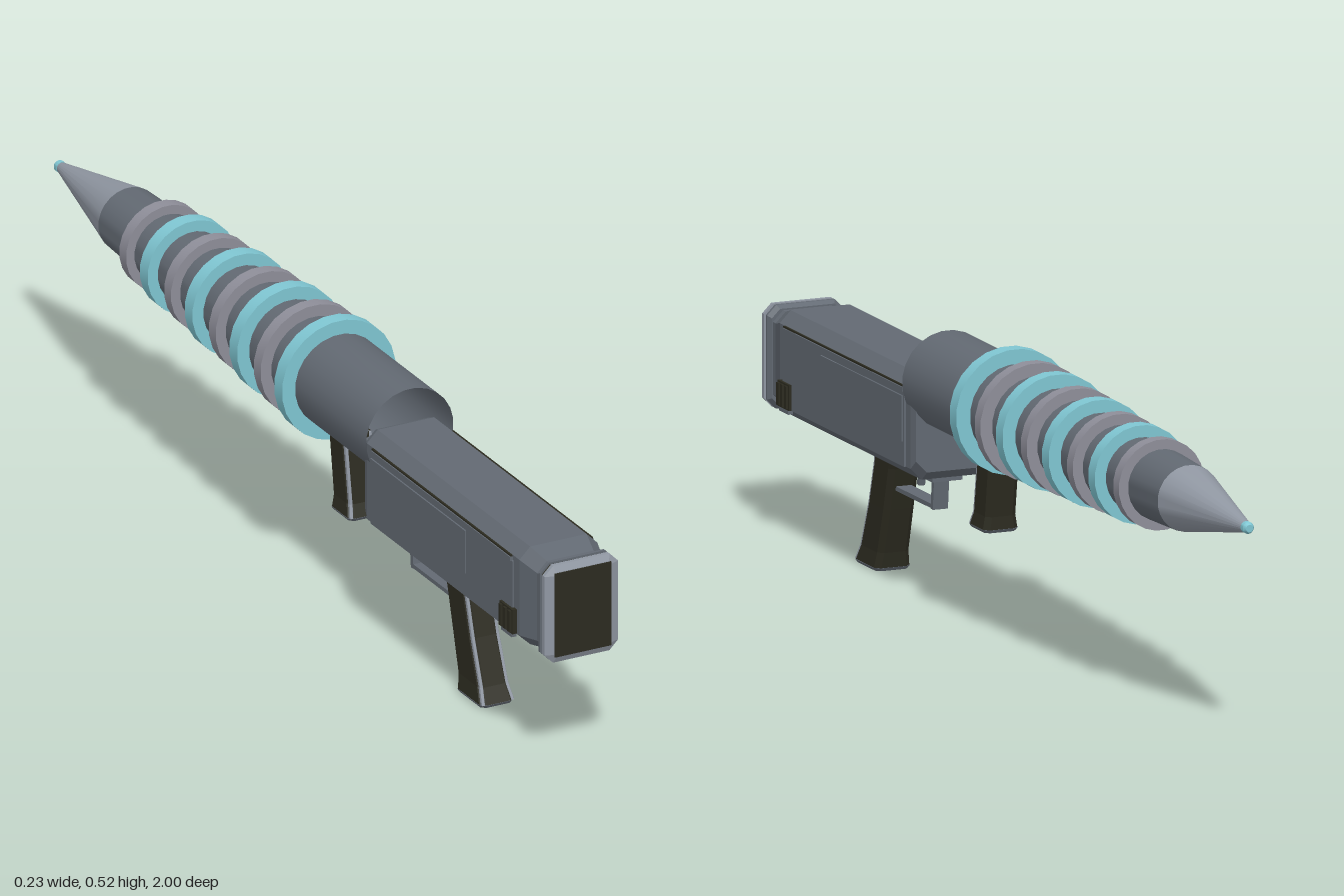
import * as THREE from 'three';
import { toCreasedNormals } from 'three/addons/utils/BufferGeometryUtils.js';

const mat = (name, color, side = THREE.FrontSide) => {
  const m = new THREE.MeshStandardMaterial({ color, side });
  m.name = name;
  return m;
};

// Chamfered-rectangle cross-sections joined along z.
// section: [z, centreX, centreY, halfWidth, halfHeight, chamfer]
function loft(sections) {
  const rings = sections.map(([z, cx, cy, w, h, c]) => [
    [w, -h + c], [w, h - c], [w - c, h], [-w + c, h],
    [-w, h - c], [-w, -h + c], [-w + c, -h], [w - c, -h],
  ].map(([x, y]) => [cx + x, cy + y, z]));
  const pos = [];
  const tri = (...p) => p.forEach((v) => pos.push(...v));
  for (let k = 0; k < rings.length - 1; k++) {
    for (let i = 0; i < 8; i++) {
      const j = (i + 1) % 8;
      const a = rings[k][i], b = rings[k][j], c = rings[k + 1][j], d = rings[k + 1][i];
      tri(a, b, c);
      tri(a, c, d);
    }
  }
  const first = rings[0], last = rings[rings.length - 1];
  for (let i = 1; i < 7; i++) {
    tri(first[0], first[i + 1], first[i]);
    tri(last[0], last[i], last[i + 1]);
  }
  const g = new THREE.BufferGeometry();
  g.setAttribute('position', new THREE.Float32BufferAttribute(pos, 3));
  g.computeVertexNormals();
  return g;
}

// Same, stacked upwards: [y, centreX, centreZ, halfWidth, halfDepth, chamfer]
const loftUp = (sections) =>
  loft(sections.map(([y, cx, cz, w, d, c]) => [y, cx, -cz, w, d, c])).rotateX(-Math.PI / 2);

// Revolved profile lying along z: points are [radius, z]
const SEG = 24;
function turned(points) {
  const g = new THREE.LatheGeometry(points.map(([r, z]) => new THREE.Vector2(r, z)), SEG, Math.PI / SEG);
  return toCreasedNormals(g.rotateX(Math.PI / 2), 0.6);
}

export function createModel() {
  const gun = mat('gunmetal', 0x626972);
  const shell = mat('gunmetal tube', 0x626972, THREE.DoubleSide);
  const steel = mat('light steel', 0x9097a2, THREE.DoubleSide);
  const ringGrey = mat('ring grey', 0x8e8e99);
  const cyan = mat('pale cyan', 0x7fc6d2);
  const dark = mat('dark olive', 0x2c2b20);

  const model = new THREE.Group();
  model.name = 'launcher';
  const add = (name, geometry, material, parent = model) => {
    const m = new THREE.Mesh(geometry, material);
    m.name = name;
    parent.add(m);
    return m;
  };
  const box = (name, w, h, d, x, y, z, material, parent) => {
    const m = add(name, new THREE.BoxGeometry(w, h, d), material, parent);
    m.position.set(x, y, z);
    return m;
  };

  // Barrel, nose and coil rings
  const barrel = new THREE.Group();
  barrel.name = 'barrel';
  barrel.position.y = 0.405;
  model.add(barrel);
  const radiusAt = (z) => (z > 0.05 ? 0.09 : 0.062 + 0.028 * (z + 0.73) / 0.78);
  add('barrelTube', turned([[0.062, -0.73], [0.09, 0.05], [0.09, 0.34]]), shell, barrel);
  add('noseCone', turned([[0.01, -0.985], [0.062, -0.73]]), steel, barrel);
  add('noseTip', turned([[0, -1], [0.007, -1], [0.011, -0.994], [0.011, -0.984], [0, -0.984]]), cyan, barrel);
  for (let i = 0; i < 8; i++) {
    const z = 0.055 - i * 0.093;
    const outer = (i % 2 ? 0.114 : 0.117) - i * 0.0042;
    const inner = radiusAt(z) - 0.006;
    const h = i % 2 ? 0.013 : 0.015;
    const g = turned([[inner, z - h], [outer, z - h], [outer, z + h], [inner, z + h], [inner, z - h]]);
    add('coilRing' + (i + 1), g, i % 2 ? ringGrey : cyan, barrel);
  }

  // Receiver body with tapered rear
  add('receiver', loft([
    [0.31, 0, 0.328, 0.076, 0.086, 0.022],
    [0.325, 0, 0.323, 0.08, 0.097, 0.022],
    [0.905, 0, 0.323, 0.08, 0.097, 0.022],
    [0.95, 0, 0.32, 0.068, 0.087, 0.02],
    [0.97, 0, 0.32, 0.068, 0.087, 0.02],
  ]), gun);

  // Butt plate: steel frame, dark band and dark pad
  add('buttFrame', loft([
    [0.962, 0, 0.32, 0.07, 0.09, 0.016],
    [0.97, 0, 0.32, 0.076, 0.096, 0.018],
    [0.976, 0, 0.32, 0.076, 0.096, 0.018],
  ]), gun);
  add('buttBand', loft([
    [0.976, 0, 0.32, 0.072, 0.092, 0.016],
    [0.984, 0, 0.32, 0.072, 0.092, 0.016],
  ]), dark);
  add('buttCap', loft([
    [0.984, 0, 0.32, 0.076, 0.096, 0.018],
    [0.992, 0, 0.32, 0.076, 0.096, 0.018],
    [0.998, 0, 0.32, 0.06, 0.084, 0.006],
  ]), steel);
  box('buttPad', 0.116, 0.166, 0.004, 0, 0.32, 0.998, dark);

  // Mirrored side details
  for (const s of [1, -1]) {
    const side = new THREE.Group();
    side.name = s > 0 ? 'leftSide' : 'rightSide';
    model.add(side);
    box('sidePlate', 0.008, 0.14, 0.54, s * 0.08, 0.318, 0.615, gun, side);
    box('sidePanel', 0.006, 0.085, 0.36, s * 0.084, 0.337, 0.53, gun, side);
    box('topRail', 0.01, 0.008, 0.53, s * 0.081, 0.391, 0.615, gun, side);
    box('panelLine', 0.004, 0.003, 0.53, s * 0.0825, 0.397, 0.615, dark, side);
    // Ribbed clip near the rear
    box('clipBase', 0.01, 0.048, 0.05, s * 0.084, 0.272, 0.87, dark, side);
    box('clipFoot', 0.01, 0.008, 0.04, s * 0.083, 0.244, 0.87, gun, side);
    for (let i = -1; i <= 1; i++) {
      box('clipRib', 0.006, 0.042, 0.009, s * 0.09, 0.272, 0.87 + i * 0.017, dark, side);
    }
  }

  // Grips: dark body, steel edge strips and base
  // rows: [y, centreZ, halfWidth, halfDepth]
  function grip(name, rows) {
    const g = new THREE.Group();
    g.name = name;
    model.add(g);
    add('gripBody', loftUp(rows.map(([y, z, w, d]) => [y, 0, z, w, d, 0.01])), dark, g);
    for (const s of [1, -1]) {
      add('gripStrip', loftUp(rows.map(([y, z, w, d]) =>
        [y, s * (w - 0.005), z + d - 0.005, 0.003, 0.004, 0.001])), steel, g);
    }
    const [y, z, w, d] = rows[0];
    add('gripBase', loftUp([[y - 0.006, 0, z, w - 0.003, d - 0.003, 0.008],
      [y, 0, z, w + 0.001, d + 0.001, 0.01]]), gun, g);
  }
  grip('rearGrip', [
    [0.006, 0.628, 0.035, 0.05],
    [0.035, 0.618, 0.031, 0.045],
    [0.12, 0.589, 0.03, 0.041],
    [0.2, 0.566, 0.03, 0.04],
    [0.235, 0.556, 0.03, 0.046],
  ]);
  grip('foreGrip', [
    [0.176, 0.136, 0.034, 0.039],
    [0.2, 0.131, 0.03, 0.034],
    [0.325, 0.112, 0.03, 0.033],
  ]);

  // Trigger guard and trigger
  box('guardBar', 0.03, 0.008, 0.165, 0, 0.162, 0.46, gun);
  const post = box('guardFront', 0.03, 0.075, 0.01, 0, 0.194, 0.373, gun);
  post.rotation.x = -0.1;
  box('guardMount', 0.06, 0.014, 0.2, 0, 0.222, 0.44, gun);
  const trigger = box('trigger', 0.012, 0.04, 0.01, 0, 0.204, 0.453, gun);
  trigger.rotation.x = -0.25;

  return model;
}
